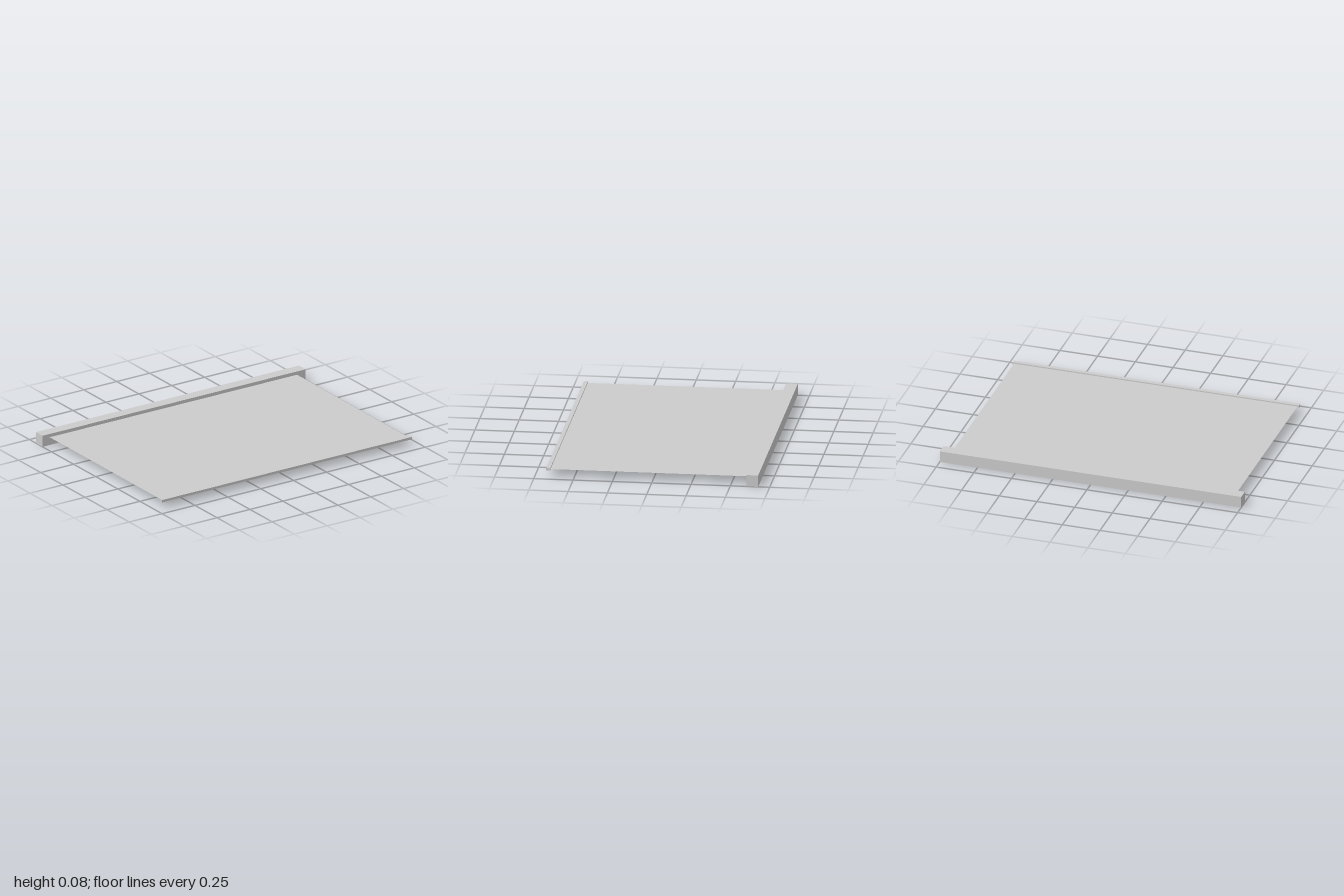
import * as THREE from 'three';

export function createModel() {
  const model = new THREE.Group();
  const material = new THREE.MeshStandardMaterial({ color: 0xcccccc, side: THREE.DoubleSide, flatShading: true });

  const add = (name, geometry, parent = model) => {
    const mesh = new THREE.Mesh(geometry, material);
    mesh.name = name;
    parent.add(mesh);
    return mesh;
  };

  const width = 2, height = 0.075, back = -0.677, front = -0.602;
  const depth = front - back, middle = (front + back) / 2;

  // Thin-walled housing, open underneath
  const housing = new THREE.Group();
  housing.name = 'housing';
  model.add(housing);

  add('housingBack', new THREE.PlaneGeometry(width, height).rotateY(Math.PI), housing)
    .position.set(0, height / 2, back);
  add('housingTop', new THREE.PlaneGeometry(width, depth).rotateX(-Math.PI / 2), housing)
    .position.set(0, height, middle);
  for (const side of [-1, 1]) {
    add(side > 0 ? 'leftEnd' : 'rightEnd', new THREE.PlaneGeometry(depth, height).rotateY(side * Math.PI / 2), housing)
      .position.set(side * width / 2, height / 2, middle);
  }

  // Front wall with the slot the sheet slides through
  const rectangle = (target, w, y0, y1) => target
    .moveTo(-w / 2, y0).lineTo(w / 2, y0).lineTo(w / 2, y1).lineTo(-w / 2, y1).closePath();
  const wall = rectangle(new THREE.Shape(), width, 0, height);
  wall.holes.push(rectangle(new THREE.Path(), 1.9, 0.038, 0.06));
  add('housingFront', new THREE.ShapeGeometry(wall), housing).position.z = front;

  // Flat extended sheet
  const sheetStart = -0.61, sheetEnd = 0.655;
  add('sheet', new THREE.PlaneGeometry(1.88, sheetEnd - sheetStart).rotateX(-Math.PI / 2))
    .position.set(0, 0.049, (sheetStart + sheetEnd) / 2);

  // Pull bar on the free edge
  add('pullBar', new THREE.BoxGeometry(1.9, 0.016, 0.026)).position.set(0, 0.049, 0.664);

  return model;
}
